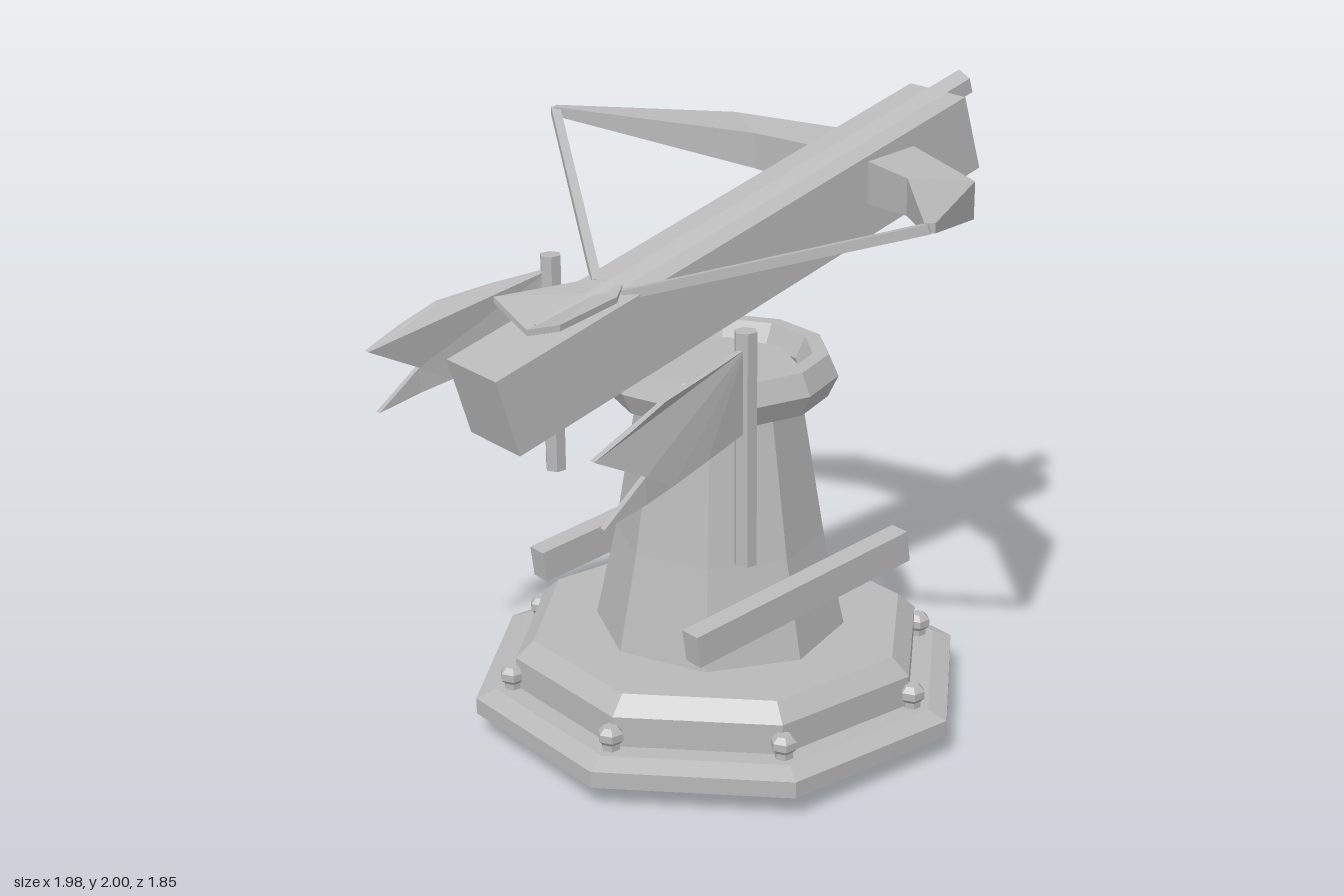
import * as THREE from 'three';

const stone = new THREE.MeshStandardMaterial({ color: 0xb8b8b8 });
stone.name = 'grey';
const CX = -0.06; // tower axis
const TILT = Math.atan2(0.565, 1.855); // upward aim of the beam

export function createModel() {
  const root = new THREE.Group();
  root.name = 'ballistaTower';

  const add = (name, geo, x = 0, y = 0, z = 0, parent = root) => {
    let g = geo.index ? geo.toNonIndexed() : geo;
    g.computeVertexNormals(); // faceted shading
    const m = new THREE.Mesh(g, stone);
    m.name = name;
    m.position.set(x, y, z);
    parent.add(m);
    return m;
  };
  const lathe = (pts, sides, turn) =>
    new THREE.LatheGeometry(pts.map(p => new THREE.Vector2(...p)), sides).rotateY(turn);

  // Solid through four-cornered sections, with end caps
  const loft = (sections, flip) => {
    const pos = [];
    const quad = (a, b, c, d) => {
      const tris = flip ? [a, c, b, a, d, c] : [a, b, c, a, c, d];
      tris.forEach(p => pos.push(...p));
    };
    for (let i = 0; i < sections.length - 1; i++)
      for (let k = 0; k < 4; k++) {
        const n = (k + 1) % 4;
        quad(sections[i][k], sections[i][n], sections[i + 1][n], sections[i + 1][k]);
      }
    quad(...[...sections[0]].reverse());
    quad(...sections[sections.length - 1]);
    const g = new THREE.BufferGeometry();
    g.setAttribute('position', new THREE.Float32BufferAttribute(pos, 3));
    return g;
  };

  // Stepped octagonal base (profile given by flat-to-flat half widths)
  const k = 1 / Math.cos(Math.PI / 8);
  const base = [[0, 0], [0.58, 0], [0.645, 0.06], [0.71, 0.06], [0.76, 0.075], [0.76, 0.13],
    [0.70, 0.155], [0.635, 0.155], [0.635, 0.255], [0.58, 0.31], [0, 0.31]];
  add('base', lathe(base.map(([r, y]) => [r * k, y]), 8, Math.PI / 8), CX);

  // Studs on the base corners
  const stud = [[0, 0.13], [0.03, 0.13], [0.03, 0.175], [0.042, 0.188], [0.042, 0.212], [0.024, 0.23], [0, 0.23]];
  for (let i = 0; i < 8; i++) {
    const a = Math.PI / 8 + i * Math.PI / 4;
    add('stud', lathe(stud, 6, Math.PI / 6), CX + 0.7 * Math.cos(a), 0, 0.7 * Math.sin(a));
  }

  // Tapered tower and its collar
  add('tower', lathe([[0, 0.3], [0.412, 0.3], [0.34, 0.63], [0.262, 1.11], [0.255, 1.2], [0, 1.2]], 8, 0), CX);
  const ring = [[0.265, 1.18], [0.3, 1.11], [0.35, 1.11], [0.383, 1.18], [0.35, 1.25], [0.3, 1.25], [0.265, 1.18]];
  add('collar', lathe(ring, 11, -Math.PI / 2), CX);

  // Tilted beam with the bolt half sunk into its top
  const beam = new THREE.Group();
  beam.name = 'beamAssembly';
  beam.position.set(-0.025, 1.54, 0);
  beam.rotation.z = TILT;
  root.add(beam);
  add('beam', new THREE.BoxGeometry(1.94, 0.26, 0.26), 0, 0, 0, beam);
  const rod = new THREE.CylinderGeometry(0.05, 0.05, 1.8, 6).rotateZ(-Math.PI / 2);
  rod.rotateX(Math.PI / 2);
  add('bolt', rod, 0.178, 0.105, 0, beam);

  for (const s of [1, -1]) {
    const flip = s < 0;

    // Bow arm: root, elbow, tip; each section is outer low, outer high, inner high, inner low
    const section = (xo, zo, xi, zi, ol, oh, il, ih) =>
      [[xo, ol, s * zo], [xo, oh, s * zo], [xi, ih, s * zi], [xi, il, s * zi]];
    const armRoot = section(0.65, 0.1, 0.45, 0.1, 1.67, 1.82, 1.66, 1.8);
    const elbow = section(0.475, 0.58, 0.39, 0.37, 1.705, 1.825, 1.685, 1.805);
    const armTip = section(-0.02, 0.925, -0.045, 0.905, 1.83, 1.86, 1.83, 1.86);
    add('bowArm', loft([armRoot, elbow, armTip], flip));

    // Bowstring
    const a = new THREE.Vector3(-0.03, 1.845, s * 0.915);
    const b = new THREE.Vector3(-0.48, 1.53, s * 0.07);
    const string = add('bowstring', new THREE.BoxGeometry(0.03, 0.03, a.distanceTo(b)));
    string.position.copy(a).add(b).multiplyScalar(0.5);
    string.lookAt(a);

    // Fletching: raised wing at the rear of the bolt
    const wing = (x, zi, yi, zo, yo) =>
      [[x, yi - 0.01, s * zi], [x, yo - 0.01, s * zo], [x, yo + 0.01, s * zo], [x, yi + 0.01, s * zi]];
    add('fletching', loft([wing(-0.79, 0, 1.455, 0.172, 1.515),
      wing(-0.53, 0, 1.52, 0.1, 1.53), wing(-0.46, 0, 1.54, 0.035, 1.54)], !flip));

    // Flag pole
    add('flagPole', new THREE.CylinderGeometry(0.036, 0.036, 0.74, 6).rotateY(Math.PI / 6),
      -0.357, 1.13, s * 0.495);

    // Swallow-tailed flag, bowed outwards
    const outline = [[-0.37, 1.45], [-0.55, 1.425], [-0.73, 1.395], [-0.86, 1.34], [-0.99, 1.28],
      [-0.81, 1.19], [-0.96, 1.07], [-0.81, 1.105], [-0.7, 1.13], [-0.55, 1.16], [-0.37, 1.19]];
    const flag = new THREE.ExtrudeGeometry(
      new THREE.Shape(outline.map(p => new THREE.Vector2(...p))), { depth: 0.02, bevelEnabled: false });
    const p = flag.attributes.position;
    for (let i = 0; i < p.count; i++) {
      const t = (-0.37 - p.getX(i)) / 0.62;
      p.setZ(i, p.getZ(i) - 0.01 + s * (0.5 + 0.1 * Math.sin(t * 1.75)));
    }
    add('flag', flag);

    // Slanted side plank
    const plank = add('plank', new THREE.BoxGeometry(0.873, 0.106, 0.072), -0.065, 0.54, s * 0.408);
    plank.rotation.z = 0.133;
  }
  return root;
}
